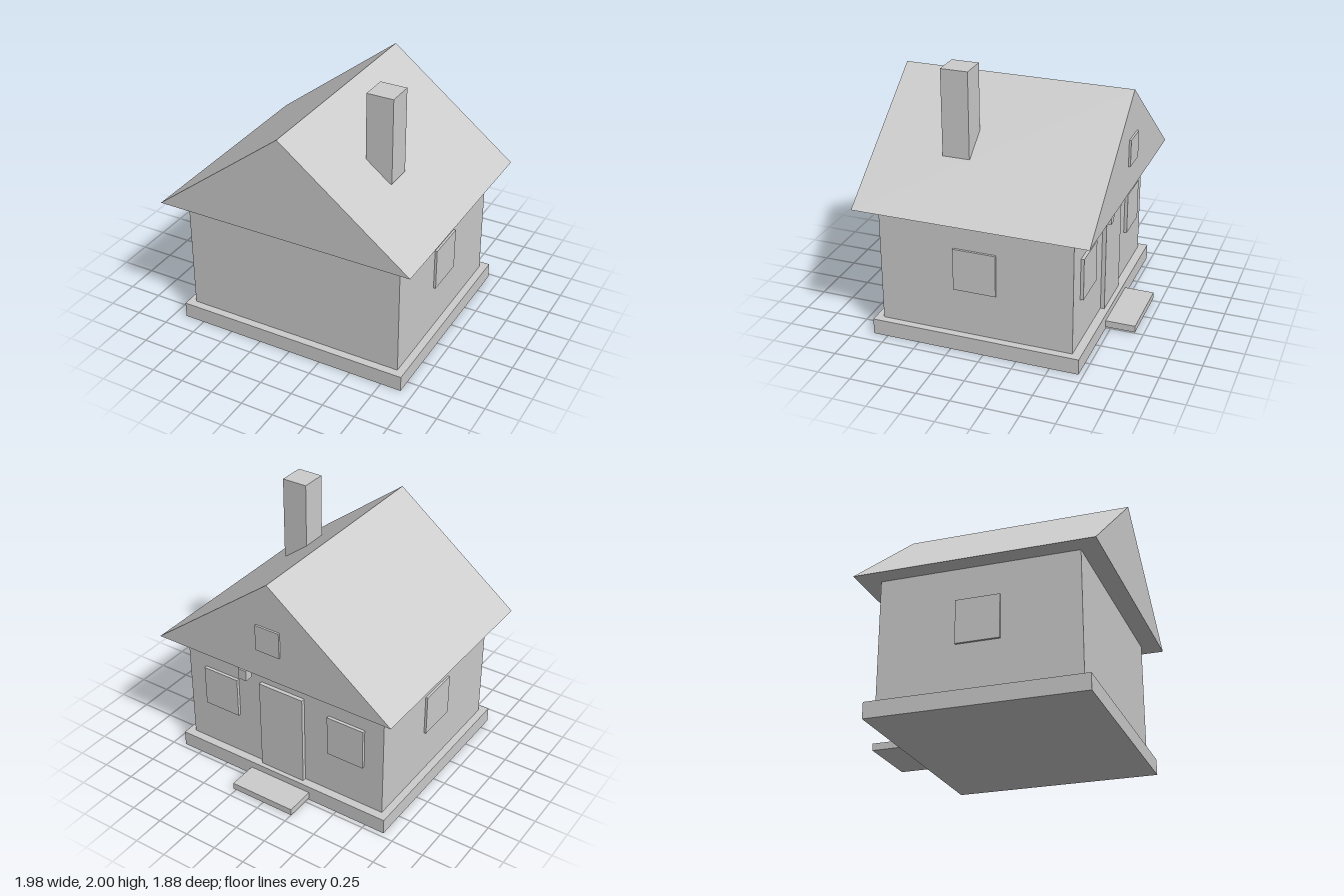
import * as THREE from 'three';

export function createModel() {
  const house = new THREE.Group();
  house.name = 'house';
  const plainGrey = new THREE.MeshStandardMaterial({ color: 0xcccccc });
  plainGrey.name = 'plain grey';

  const add = (name, geometry) => {
    const mesh = new THREE.Mesh(geometry, plainGrey);
    mesh.name = name;
    house.add(mesh);
    return mesh;
  };
  // Box given by its extents along each axis
  const box = (name, [x0, x1], [y0, y1], [z0, z1]) =>
    add(name, new THREE.BoxGeometry(x1 - x0, y1 - y0, z1 - z0))
      .position.set((x0 + x1) / 2, (y0 + y1) / 2, (z0 + z1) / 2);

  // Main body
  box('foundation', [-0.907, 0.907], [0, 0.12], [-0.715, 0.86]);
  box('walls', [-0.85, 0.85], [0.12, 1.03], [-0.65, 0.8]);

  // Solid gable roof running front to back
  const gable = new THREE.Shape([
    new THREE.Vector2(-0.99, 1.03),
    new THREE.Vector2(0.99, 1.03),
    new THREE.Vector2(0, 1.8),
  ]);
  add('roof', new THREE.ExtrudeGeometry(gable, { depth: 1.74, bevelEnabled: false }))
    .position.z = -0.8;
  box('chimney', [0.383, 0.585], [1.355, 2], [0.21, 0.412]);

  // Entrance side
  box('door', [-0.187, 0.187], [0.12, 0.85], [-0.68, -0.65]);
  box('doorStep', [-0.262, 0.262], [0.015, 0.067], [-0.94, -0.715]);
  box('lamp', [0.247, 0.317], [0.89, 0.975], [-0.75, -0.685]);
  box('atticWindow', [-0.1, 0.1], [1.255, 1.457], [-0.815, -0.8]);

  // Mirrored windows
  for (const [side, s] of [['left', 1], ['right', -1]]) {
    const span = (a, b) => (s > 0 ? [a, b] : [-b, -a]);
    box(side + 'BackWindow', span(0.395, 0.695), [0.47, 0.79], [-0.674, -0.65]);
    box(side + 'SideWindow', span(0.85, 0.867), [0.47, 0.79], [-0.085, 0.235]);
  }
  return house;
}
